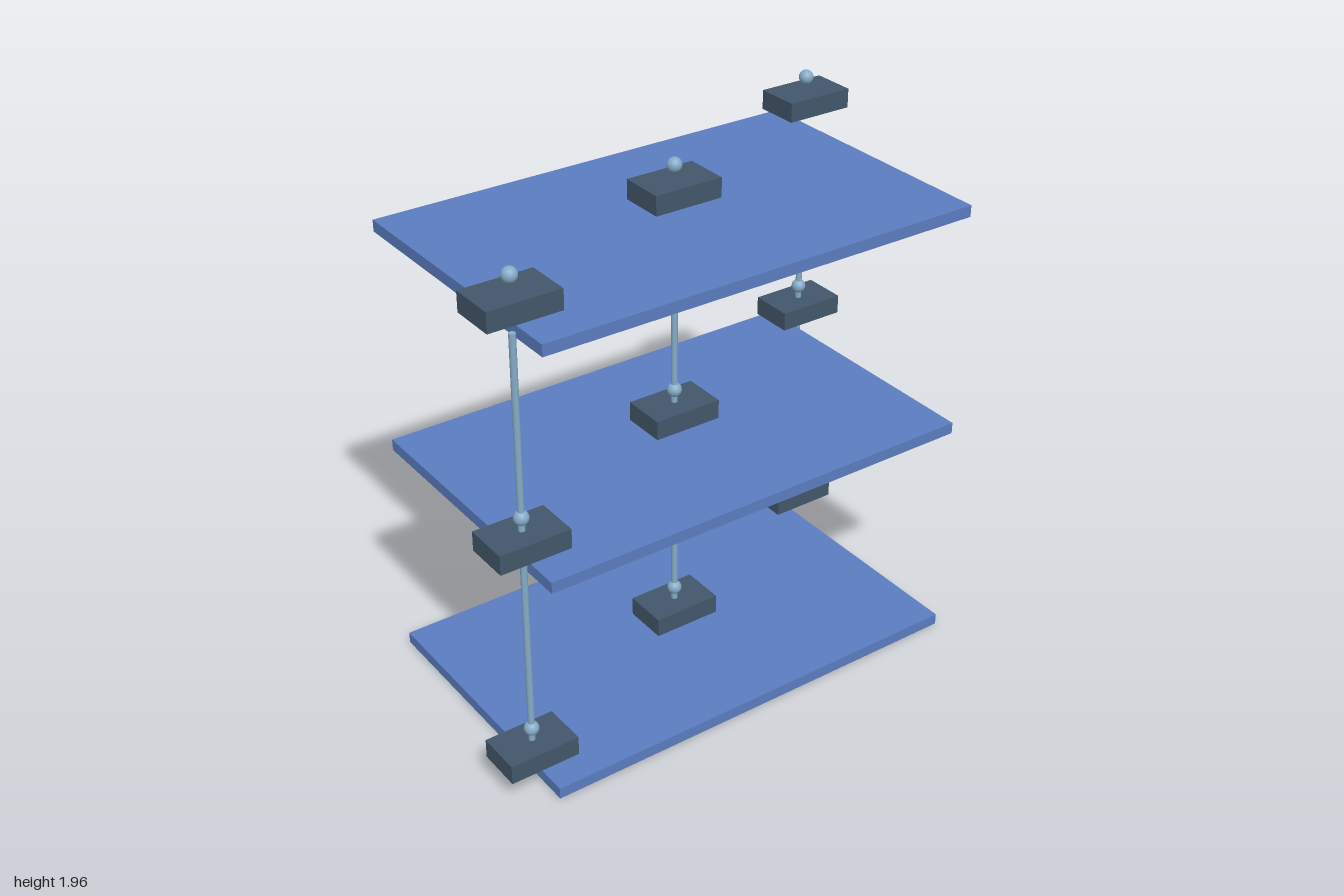
import * as THREE from 'three';

const material = (name, color) => {
  const m = new THREE.MeshStandardMaterial({ color });
  m.name = name;
  return m;
};

export function createModel() {
  const group = new THREE.Group();
  const blue = material('slab blue', 0x5b7dc0);
  const slate = material('block slate', 0x43566b);
  const steel = material('pale steel', 0x86acc8);

  const add = (name, geometry, mat, x, y, z) => {
    const mesh = new THREE.Mesh(geometry, mat);
    mesh.name = name;
    mesh.position.set(x, y, z);
    group.add(mesh);
  };

  const slab = new THREE.BoxGeometry(1.706, 0.043, 1.066);
  const block = new THREE.BoxGeometry(0.266, 0.073, 0.171);
  const ball = new THREE.SphereGeometry(0.027, 16, 12);
  const rod = new THREE.CylinderGeometry(0.012, 0.012, 1.714, 12);

  const step = 0.857;
  const posts = [[-0.867, 0.385], [0, 0], [0.867, -0.385]];

  // Three decks, each with a floating block and ball above every post
  for (let i = 0; i < 3; i++) {
    const y = i * step;
    add('deck', slab, blue, 0, y + 0.0215, 0);
    for (const [x, z] of posts) {
      add('block', block, slate, x, y + 0.131, z);
      add('ball', ball, steel, x, y + 0.216, z);
    }
  }

  // Posts running from the middle of the lowest deck to that of the highest
  for (const [x, z] of posts) add('post', rod, steel, x, 0.0215 + step, z);

  return group;
}
